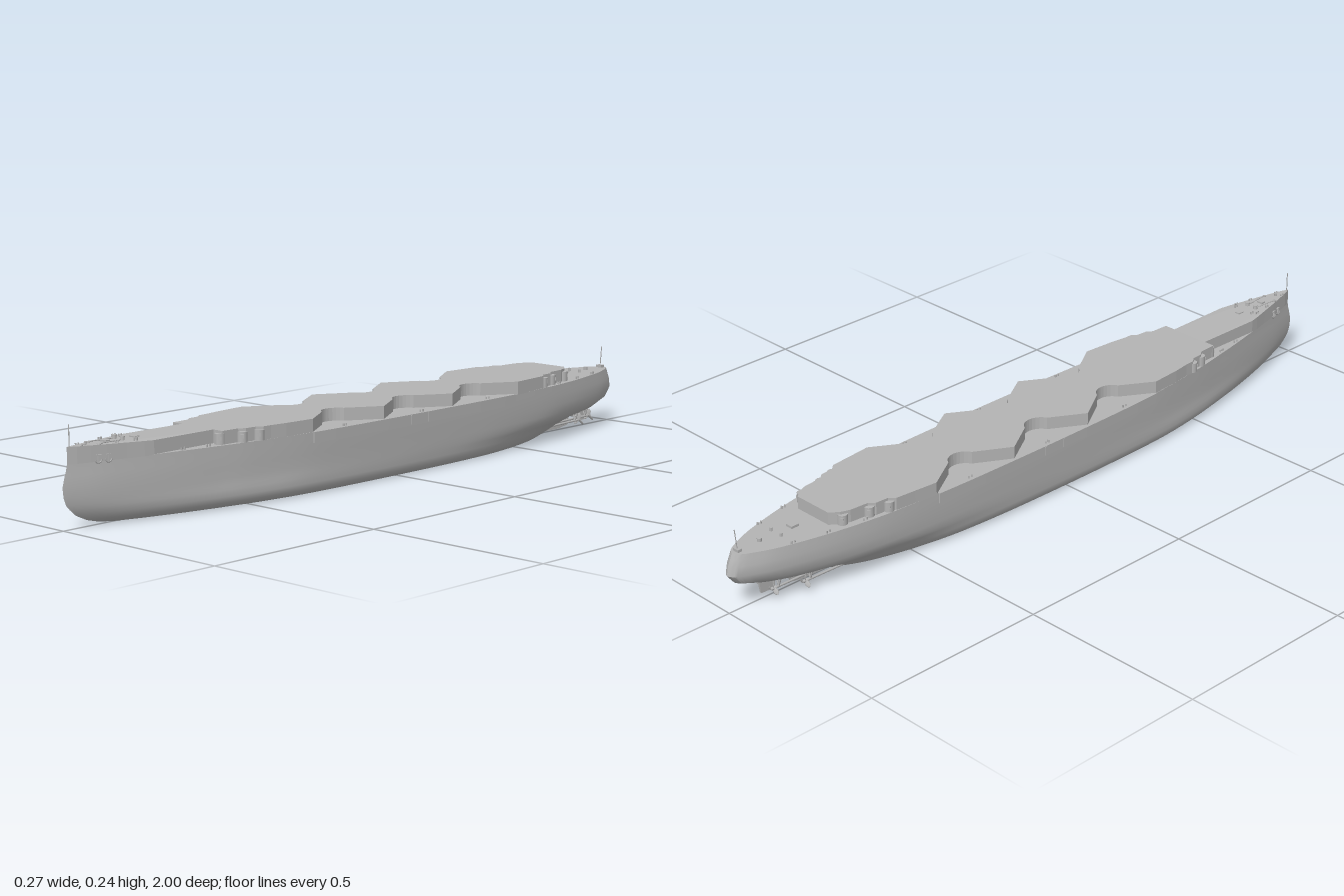
import * as THREE from 'three';
import { toCreasedNormals } from 'three/addons/utils/BufferGeometryUtils.js';

const grey = new THREE.MeshStandardMaterial({ color: 0xb4b4b4 });
grey.name = 'hull grey';

const DECK = 0.154, TOP = 0.187;
const v2 = (x, y) => new THREE.Vector2(x, y);

// Half breadth of the hull along its length, as [z, half width]
const PLAN = [[-1, 0], [-0.99, 0.016], [-0.96, 0.033], [-0.9, 0.057], [-0.8, 0.083], [-0.7, 0.102],
  [-0.58, 0.117], [-0.4, 0.127], [-0.2, 0.131], [0, 0.132], [0.2, 0.13], [0.35, 0.124], [0.5, 0.108],
  [0.6, 0.092], [0.7, 0.074], [0.8, 0.053], [0.9, 0.029], [0.97, 0.009], [1, 0]];
// Waterlines: [height, stern z, stem z, breadth factor]
const LEVELS = [[0, -0.68, 0.85, 0.84], [0.006, -0.7, 0.895, 0.91], [0.015, -0.73, 0.93, 0.965],
  [0.03, -0.78, 0.962, 0.98], [0.046, -0.85, 0.98, 0.985], [0.057, -0.93, 0.99, 0.988],
  [0.075, -0.98, 0.997, 0.99], [0.1, -1, 1, 0.995], [0.125, -0.995, 0.993, 1],
  [0.14, -0.988, 0.988, 1], [DECK, -0.982, 0.985, 1]];
const planCurve = new THREE.SplineCurve(PLAN.map(([z, w]) => v2(z, w)));
const planPoints = planCurve.getPoints(72);

function halfWidth(z) {
  for (let i = 1; i < PLAN.length; i++) {
    const [z0, w0] = PLAN[i - 1], [z1, w1] = PLAN[i];
    if (z <= z1) return w0 + (w1 - w0) * (z - z0) / (z1 - z0);
  }
  return 0;
}

function hullGeometry() {
  const pos = [], idx = [], n = planPoints.length - 1, m = 2 * n;
  for (const [y, zs, zb, f] of LEVELS) {
    for (let i = 0; i < m; i++) {
      const p = planPoints[i <= n ? i : m - i];
      const w = Math.max(0, p.y) * f * (i <= n ? 1 : -1);
      pos.push(w, y, zs + (zb - zs) * (p.x + 1) / 2);
    }
  }
  for (let j = 0; j < LEVELS.length - 1; j++) {
    for (let i = 0; i < m; i++) {
      const a = j * m + i, b = j * m + (i + 1) % m;
      idx.push(a, a + m, b, b, a + m, b + m);
    }
  }
  // Flat bottom and main deck, strips across the ship
  const t = (LEVELS.length - 1) * m;
  for (let i = 0; i < n; i++) {
    const p = i, p1 = i + 1, q = (m - i) % m, q1 = m - i - 1;
    if (i > 0) idx.push(t + p, t + q, t + p1, p, p1, q);
    if (i < n - 1) idx.push(t + q, t + q1, t + p1, q, p1, q1);
  }
  const g = new THREE.BufferGeometry();
  g.setAttribute('position', new THREE.Float32BufferAttribute(pos, 3));
  g.setIndex(idx);
  return toCreasedNormals(g, 0.6);
}

// Symmetrical slab from an outline of [x, z] points on the +x side
function slab(points, y0, y1) {
  const full = [...points, ...points.filter(p => p[0] > 0).reverse().map(([x, z]) => [-x, z])];
  const g = new THREE.ExtrudeGeometry(new THREE.Shape(full.map(([x, z]) => v2(x, -z))),
    { depth: y1 - y0, bevelEnabled: false });
  return g.rotateX(-Math.PI / 2).translate(0, y0, 0);
}

export function createModel() {
  const ship = new THREE.Group();
  ship.name = 'warshipHull';
  const add = (name, geo, x = 0, y = 0, z = 0, parent = ship) => {
    const mesh = new THREE.Mesh(geo, grey);
    mesh.name = name;
    mesh.position.set(x, y, z);
    parent.add(mesh);
    return mesh;
  };
  const box = (w, h, d) => new THREE.BoxGeometry(w, h, d);
  const cyl = (r, h, s = 12, r2 = r) => new THREE.CylinderGeometry(r2, r, h, s);
  const rod = (name, a, b, r) => add(name, new THREE.TubeGeometry(
    new THREE.LineCurve3(new THREE.Vector3(...a), new THREE.Vector3(...b)), 1, r, 8));

  add('hull', hullGeometry());

  // Side shelf along the middle of the hull
  const shelf = planPoints.filter(p => p.x > -0.45 && p.x < 0.34).reverse().map(p => [p.y + 0.003, p.x]);
  add('sideShelf', slab(shelf, 0.127, DECK + 0.0005));

  // Upper deck: forecastle, stepped casemate bays and three round notches per side
  const upper = [[0, 0.985], [0.009, 0.962], [0.018, 0.93], [0.029, 0.89], [0.041, 0.84], [0.052, 0.795],
    [0.057, 0.77], [0.055, 0.58], [0.086, 0.58], [0.088, 0.53], [0.099, 0.515], [0.101, 0.485],
    [0.112, 0.47], [0.113, 0.445], [0.119, 0.4], [0.125, 0.315]];
  for (const zc of [0.19, -0.068, -0.328]) {
    for (let k = 0; k <= 10; k++) {
      const a = THREE.MathUtils.degToRad(115 + 13 * k);
      upper.push([0.09 + 0.043 * Math.cos(a), zc + 0.043 * Math.sin(a)]);
    }
    upper.push([0.126, zc - 0.128]);
  }
  upper.push([0.12, -0.52], [0.115, -0.575], [0.101, -0.59], [0.099, -0.625], [0.086, -0.64],
    [0.082, -0.69], [0.073, -0.715], [0.055, -0.737], [0, -0.737]);
  const deck = slab(upper, DECK - 0.002, TOP);
  const p = deck.attributes.position;
  for (let i = 0; i < p.count; i++) { // gentle rise towards the bow
    const rise = Math.max(0, p.getZ(i) - 0.76) / 0.225;
    if (p.getY(i) > 0.17) p.setY(i, p.getY(i) + 0.006 * rise);
  }
  deck.computeVertexNormals();
  add('upperDeck', deck);

  // Flagstaffs
  add('bowStaff', cyl(0.0013, 0.055, 6), 0, 0.217, 0.978);
  add('sternStaff', cyl(0.0013, 0.06, 6), 0, DECK + 0.028, -0.968).rotation.x = -0.1;

  // Windlass, hatch and breakwater on the centre line
  add('windlass', box(0.018, 0.006, 0.014), 0, 0.192, 0.87);
  add('foreHatch', box(0.016, 0.005, 0.018), 0, 0.19, 0.78);
  add('foreVent', cyl(0.003, 0.01), 0, 0.194, 0.93);
  add('sternHatch', box(0.02, 0.006, 0.022), 0, DECK + 0.003, -0.8);
  add('sternCapstan', cyl(0.006, 0.009), 0, DECK + 0.004, -0.9);
  add('sternFairlead', box(0.018, 0.008, 0.012), 0, DECK + 0.003, -0.965);

  for (const s of [1, -1]) {
    // Forecastle fittings
    add('capstan', cyl(0.006, 0.009, 12, 0.005), s * 0.014, 0.194, 0.83);
    add('capstanCap', cyl(0.007, 0.002), s * 0.014, 0.199, 0.83);
    rod('anchorChain', [s * 0.014, 0.192, 0.83], [s * 0.019, 0.193, 0.905], 0.0014);
    add('hawsePipe', new THREE.TorusGeometry(0.004, 0.0015, 6, 12).rotateX(Math.PI / 2), s * 0.019, 0.192, 0.905);
    for (const [x, z] of [[0.038, 0.81], [0.028, 0.8], [0.03, 0.86], [0.011, 0.945]])
      for (const dz of [-0.004, 0.004]) add('bollard', cyl(0.002, 0.008, 8), s * x, 0.192, z + dz);

    // Bow anchors, two on each side
    for (const z of [0.888, 0.913]) {
      const anchor = new THREE.Group();
      anchor.name = 'anchor';
      anchor.position.set(s * (halfWidth(z) + 0.001), 0.158, z);
      anchor.rotation.y = s * 1.34;
      ship.add(anchor);
      add('anchorShank', box(0.003, 0.02, 0.004), 0, 0.002, 0, anchor);
      add('anchorArms', new THREE.TorusGeometry(0.008, 0.002, 6, 12, Math.PI).rotateZ(Math.PI), 0, 0, 0, anchor);
      add('anchorStock', box(0.012, 0.003, 0.004), 0, 0.01, 0, anchor);
    }

    // Casemate drums with gun ports under the upper deck corners
    for (const [x, z] of [[0.074, 0.577], [0.092, 0.521], [0.104, 0.477], [0.102, -0.588], [0.088, -0.638], [0.073, -0.708]]) {
      add('casemate', cyl(0.013, 0.026, 16), s * x, DECK + 0.013, z);
      const port = add('gunPort', box(0.008, 0.009, 0.003), s * (x + 0.009), 0.169, z + Math.sign(z) * 0.009);
      port.rotation.y = s * (z > 0 ? 0.8 : 2.35);
    }

    // Main deck fittings along the edge
    for (const z of [0.69, 0.62, 0.36, 0.2, -0.08, -0.34, -0.66, -0.76, -0.85])
      for (const dz of [-0.005, 0.005])
        add('deckBollard', cyl(0.0022, 0.008, 8), s * (halfWidth(z) - 0.008), DECK + 0.003, z + dz);
    for (const z of [-0.03, -0.095])
      add('sideLadder', box(0.004, 0.024, 0.006), s * 0.1345, 0.141, z);
    add('sternVent', cyl(0.0035, 0.01), s * 0.018, DECK + 0.004, -0.85);

    // Shafts, struts and propellers
    for (const [x, z, z0] of [[0.024, -0.885, -0.66], [0.05, -0.81, -0.6]]) {
      const y = 0.03;
      rod('propellerShaft', [s * x, 0.026, z0], [s * x, y, z - 0.006], 0.003);
      rod('shaftStrut', [s * x, y, z + 0.016], [s * (x + 0.012), 0.062, z + 0.016], 0.002);
      rod('shaftStrut', [s * x, y, z + 0.016], [s * (x - 0.012), 0.062, z + 0.016], 0.002);
      const prop = new THREE.Group();
      prop.name = 'propeller';
      prop.position.set(s * x, y, z);
      ship.add(prop);
      add('hub', cyl(0.003, 0.014, 10, 0.005).rotateX(Math.PI / 2), 0, 0, 0, prop);
      for (let k = 0; k < 3; k++) {
        const blade = new THREE.SphereGeometry(1, 10, 6).scale(0.007, 0.0095, 0.0012)
          .rotateY(s * 0.5).translate(0, 0.01, 0).rotateZ(k * Math.PI * 2 / 3);
        add('blade', blade, 0, 0, 0, prop);
      }
    }
  }

  // Keel fin and rudder under the stern
  const side = (pts, w) => new THREE.ExtrudeGeometry(new THREE.Shape(pts.map(([z, y]) => v2(z, y))),
    { depth: w, bevelEnabled: false }).rotateY(-Math.PI / 2).translate(w / 2, 0, 0);
  add('keelFin', side([[-0.64, 0.002], [-0.78, 0.004], [-0.815, 0.01], [-0.83, 0.05], [-0.64, 0.03]], 0.008));
  add('rudder', side([[-0.865, 0.014], [-0.905, 0.016], [-0.912, 0.062], [-0.86, 0.062]], 0.006));
  return ship;
}
